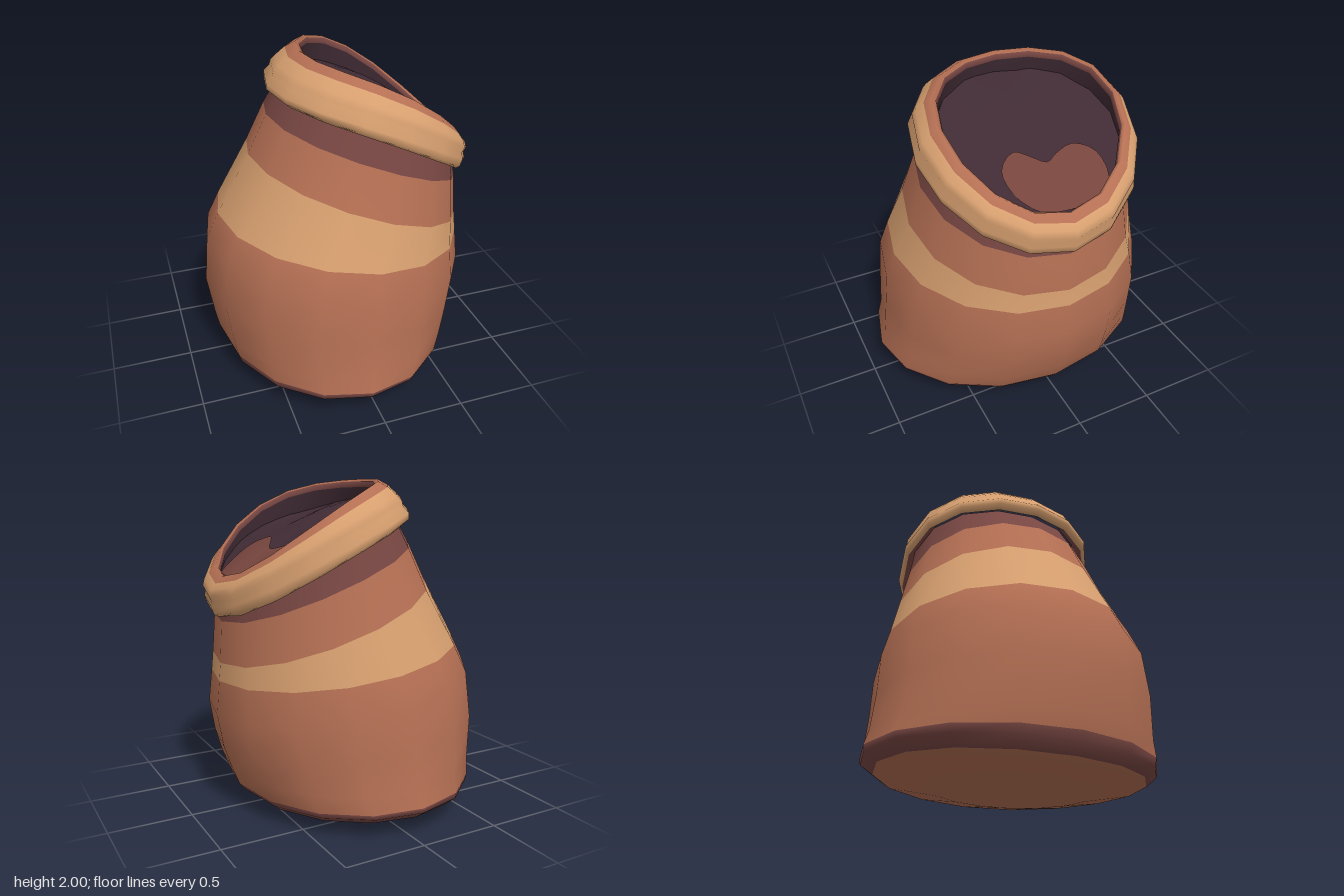
import * as THREE from 'three';

const SEG = 16;

const material = (name, color, side = THREE.FrontSide) => {
  const m = new THREE.MeshStandardMaterial({ color, side });
  m.name = name;
  return m;
};

// Smooth skin through rings of points; bands[i] is the material index between ring i and i + 1
function skin(rings, bands) {
  const n = rings[0].length;
  const geo = new THREE.BufferGeometry();
  const index = [];
  for (let r = 0; r < rings.length - 1; r++) {
    for (let i = 0; i < n; i++) {
      const a = r * n + i, b = r * n + (i + 1) % n;
      index.push(a, a + n, b, b, a + n, b + n);
    }
    geo.addGroup(r * n * 6, n * 6, bands ? bands[r] : 0);
  }
  geo.setAttribute('position', new THREE.Float32BufferAttribute(rings.flat(2), 3));
  geo.setIndex(index);
  geo.computeVertexNormals();
  return geo;
}

// Tilted oval ring from its right-hand end, left-hand end, half depth and lift of the sides
function ring([x0, y0, x1, y1, depth, lift = 0]) {
  return Array.from({ length: SEG }, (_, i) => {
    const t = (i / SEG) * Math.PI * 2, c = Math.cos(t), s = Math.sin(t);
    return [
      (x0 + x1) / 2 + c * (x1 - x0) / 2,
      (y0 + y1) / 2 + c * (y1 - y0) / 2 + lift * s * s,
      s * depth,
    ];
  });
}

// Height of the lumpy filling inside the mouth
const fillHeight = (x, z) =>
  1.81 - 0.37 * x - 0.24 * x * x + 0.012 * Math.sin(9 * x + 1) * Math.cos(8 * z) + 0.01 * Math.sin(13 * z);

export function createModel() {
  const group = new THREE.Group();
  const brown = material('brown cloth', 0xb57054);
  const tan = material('tan cloth', 0xd8a070);
  const maroon = material('dark red trim', 0x7a4844);
  const purple = material('dark purple inside', 0x402b34);
  const patchRed = material('red brown patch', 0x75443d);
  const palette = [brown, tan, maroon, purple];

  const add = (name, geo, mat) => {
    const mesh = new THREE.Mesh(geo, mat);
    mesh.name = name;
    group.add(mesh);
  };

  // Body: rounded base, dark foot trim, wide belly, tan band, dark neck
  const body = [
    [-0.05, 0.0, -0.05, 0.0, 0],
    [-0.48, 0.02, 0.37, 0.02, 0.5],
    [-0.72, 0.07, 0.61, 0.06, 0.84, 0.025],
    [-0.77, 0.13, 0.66, 0.10, 0.915, 0.03],
    [-0.79, 0.19, 0.69, 0.14, 0.92, 0.01],
    [-0.81, 0.29, 0.735, 0.25, 0.89],
    [-0.85, 0.57, 0.785, 0.40, 0.865],
    [-0.82, 0.87, 0.82, 0.60, 0.845],
    [-0.74, 1.03, 0.80, 0.81, 0.79],
    [-0.53, 1.40, 0.79, 0.92, 0.71, 0.02],
    [-0.41, 1.64, 0.775, 1.17, 0.64, 0.04],
    [-0.31, 1.79, 0.75, 1.27, 0.60, 0.1],
  ];
  add('sackBody', skin(body.map(ring), [0, 0, 2, 2, 0, 0, 0, 0, 1, 0, 2]), palette);

  // Rolled cuff with two soft folds, brown lip and dark lining
  const cuff = [
    [-0.31, 1.81, 0.74, 1.29, 0.58, 0.11],
    [-0.365, 1.76, 0.795, 1.20, 0.645, 0.11],
    [-0.40, 1.79, 0.82, 1.215, 0.665, 0.11],
    [-0.40, 1.825, 0.835, 1.26, 0.67, 0.11],
    [-0.365, 1.86, 0.83, 1.29, 0.645, 0.12],
    [-0.355, 1.89, 0.845, 1.32, 0.65, 0.12],
    [-0.325, 1.92, 0.835, 1.36, 0.63, 0.12],
    [-0.265, 1.97, 0.805, 1.395, 0.59, 0.12],
    [-0.20, 2.0, 0.765, 1.435, 0.55, 0.12],
    [-0.175, 1.985, 0.745, 1.43, 0.53, 0.12],
    [-0.175, 1.95, 0.735, 1.40, 0.52, 0.12],
    [-0.22, 1.80, 0.745, 1.30, 0.55, 0.08],
  ];
  add('rolledCuff', skin(cuff.map(ring), [2, 1, 1, 1, 1, 1, 1, 0, 0, 2, 3]), palette);

  // Lumpy filling just below the mouth
  const fill = [1, 0.8, 0.6, 0.4, 0.2, 0].map((k) =>
    Array.from({ length: 24 }, (_, i) => {
      const t = (i / 24) * Math.PI * 2;
      const x = 0.265 + Math.cos(t) * 0.48 * k, z = Math.sin(t) * 0.55 * k;
      return [x, fillHeight(x, z), z];
    }));
  add('filling', skin(fill), purple);

  // Two-lobed patch lying on the filling
  const outline = new THREE.CatmullRomCurve3([
    [0.73, 0], [0.71, 0.15], [0.58, 0.26], [0.46, 0.27], [0.38, 0.16], [0.42, 0.07],
    [0.46, -0.01], [0.42, -0.09], [0.40, -0.2], [0.49, -0.31], [0.62, -0.32], [0.70, -0.2],
  ].map(([x, z]) => new THREE.Vector3(x, 0, z)), true).getPoints(36).slice(0, 36);
  const patch = [1, 0.75, 0.5, 0.25, 0].map((k) => outline.map((p) => {
    const x = 0.58 + (p.x - 0.58) * k, z = -0.02 + (p.z + 0.02) * k;
    return [x, fillHeight(x, z) + 0.009, z];
  }));
  add('fillingPatch', skin(patch), patchRed);

  return group;
}
